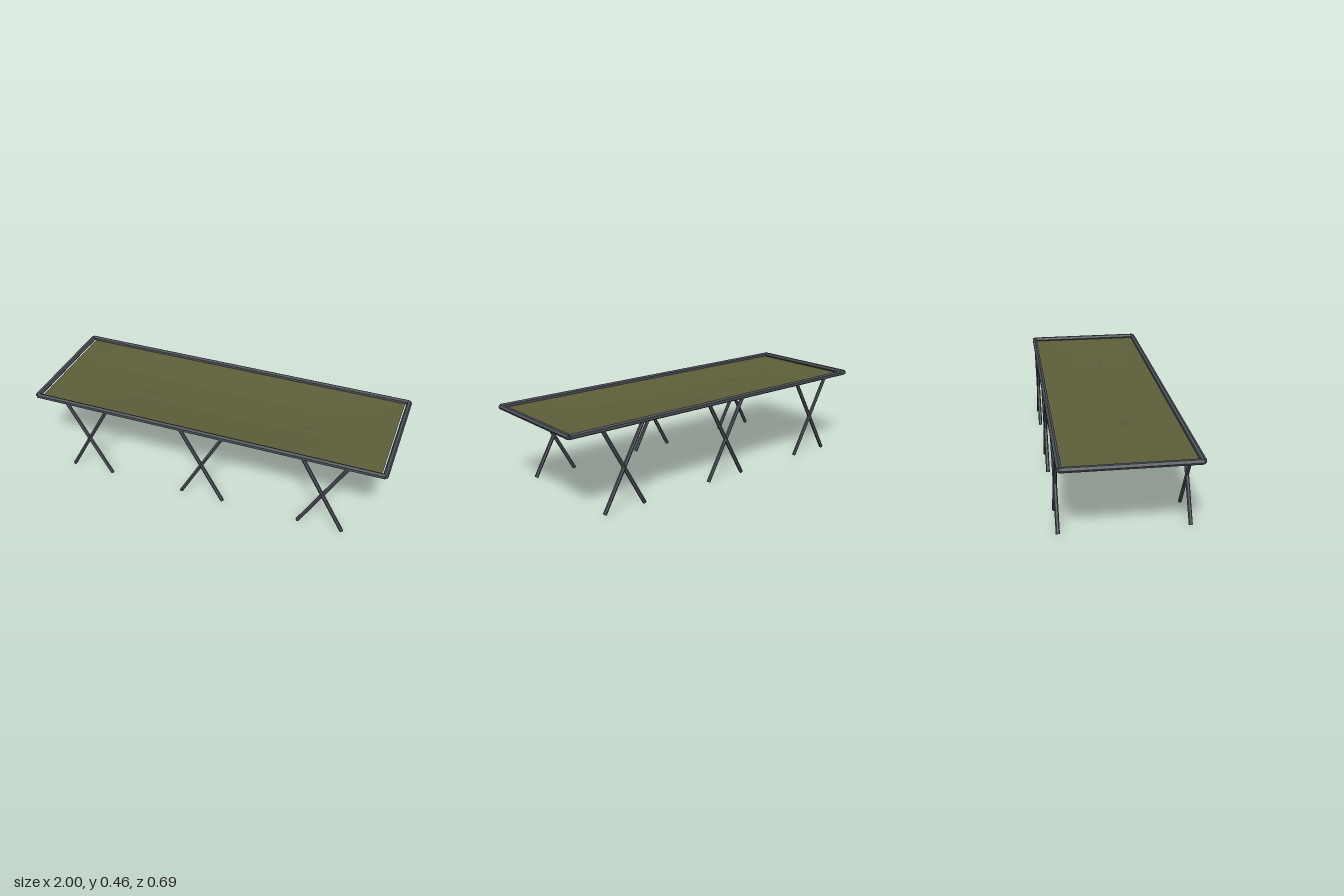
import * as THREE from 'three';

export function createModel() {
  const model = new THREE.Group();
  const metal = new THREE.MeshStandardMaterial({ color: 0x4b5157, flatShading: true });
  metal.name = 'dark grey metal';
  const canvas = new THREE.MeshStandardMaterial({ color: 0x5d5f3a, flatShading: true, side: THREE.DoubleSide });
  canvas.name = 'olive canvas';
  const stain = new THREE.MeshStandardMaterial({ color: 0x5a5b38, side: THREE.DoubleSide });
  stain.name = 'worn canvas';

  const railX = 0.985, railZ = 0.333, railY = 0.4465;

  // Six-sided tube between two points
  function tube(name, a, b, radius, thetaStart) {
    const dir = b.clone().sub(a);
    const geo = new THREE.CylinderGeometry(radius, radius, dir.length(), 6, 1, false, thetaStart);
    const mesh = new THREE.Mesh(geo, metal);
    mesh.name = name;
    mesh.quaternion.setFromUnitVectors(new THREE.Vector3(0, 1, 0), dir.normalize());
    mesh.position.copy(a).add(b).multiplyScalar(0.5);
    model.add(mesh);
  }
  const v = (x, y, z) => new THREE.Vector3(x, y, z);

  // Frame rails and crossed legs
  for (const s of [-1, 1]) {
    tube('sideRail', v(-railX, railY, s * railZ), v(railX, railY, s * railZ), 0.0145, Math.PI / 2);
    tube('endRail', v(s * railX, railY, -railZ), v(s * railX, railY, railZ), 0.0145, Math.PI / 2);
    for (const x of [-0.68, 0, 0.68]) {
      for (const lean of [-1, 1]) {
        tube('leg', v(x - lean * 0.123, 0.006, s * railZ), v(x + lean * 0.123, railY, s * railZ), 0.0105, 0);
      }
    }
  }

  // Sagging canvas: eight panels long, three across
  const halfL = 0.964, halfW = 0.32, segs = 8, cell = 2 * halfL / segs;
  const edgeY = 0.441;
  const sag = x => 0.026 * (1 - Math.abs(x / halfL) ** 3);
  const bed = new THREE.PlaneGeometry(2 * halfL, 2 * halfW, segs, 3).rotateX(-Math.PI / 2);
  const p = bed.attributes.position;
  for (let i = 0; i < p.count; i++) {
    const inner = Math.abs(p.getZ(i)) < halfW * 0.9;
    p.setY(i, edgeY - (inner ? sag(p.getX(i)) : 0));
  }
  bed.computeVertexNormals();
  const sheet = new THREE.Mesh(bed, canvas);
  sheet.name = 'canvasBed';
  model.add(sheet);

  // Height of the middle strip of the canvas
  function stripY(x) {
    const x0 = Math.floor((x + halfL) / cell) * cell - halfL;
    return edgeY - THREE.MathUtils.lerp(sag(x0), sag(x0 + cell), (x - x0) / cell);
  }

  // Two flat worn patches
  function patch(name, outline) {
    const shape = new THREE.Shape(outline.map(([x, z]) => new THREE.Vector2(x, -z)));
    const geo = new THREE.ShapeGeometry(shape).rotateX(-Math.PI / 2);
    const q = geo.attributes.position;
    for (let i = 0; i < q.count; i++) q.setY(i, stripY(q.getX(i)) + 0.0015);
    geo.computeVertexNormals();
    const mesh = new THREE.Mesh(geo, stain);
    mesh.name = name;
    model.add(mesh);
  }
  patch('largeWornPatch', [[-0.48, 0.06], [-0.47, 0.035], [-0.435, 0.035], [-0.40, 0.02],
    [-0.365, 0.035], [-0.34, 0.053], [-0.375, 0.06], [-0.42, 0.08]]);
  patch('smallWornPatch', [[0.47, 0.05], [0.485, 0.033], [0.53, 0.033], [0.56, 0.04],
    [0.57, 0.052], [0.555, 0.065], [0.52, 0.068], [0.485, 0.064]]);

  return model;
}
